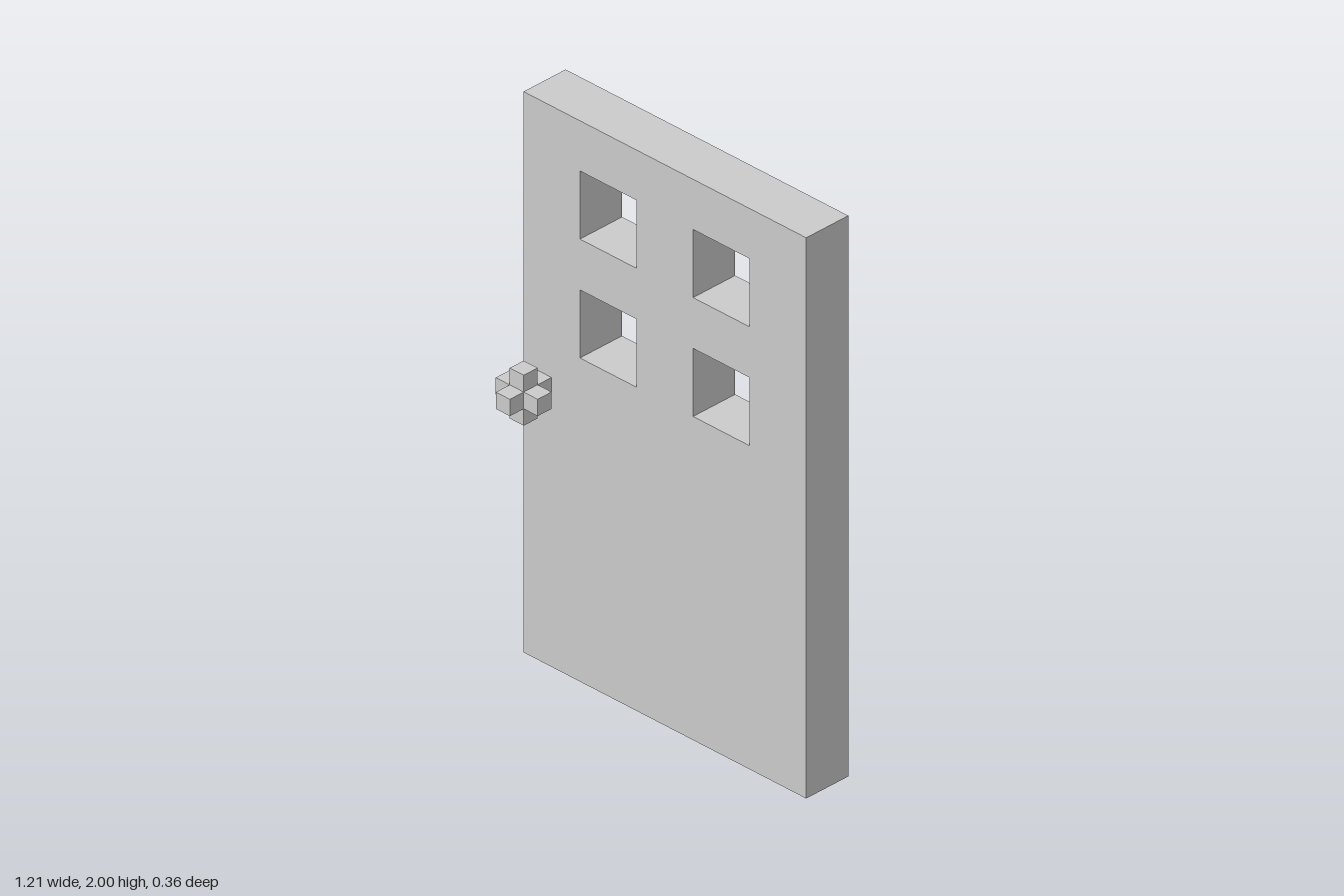
import * as THREE from 'three';

const WIDTH = 1.212, HEIGHT = 2, DEPTH = 0.182;

// Closed rectangular outline from two opposite corners
function rect(PathType, x0, y0, x1, y1) {
  return new PathType([[x0, y0], [x1, y0], [x1, y1], [x0, y1]].map(([x, y]) => new THREE.Vector2(x, y)));
}

export function createModel() {
  const model = new THREE.Group();
  model.name = 'door';
  const material = new THREE.MeshStandardMaterial({ color: 0xcccccc, flatShading: true });

  // Door slab with a two by two grid of open windows
  const outline = rect(THREE.Shape, -WIDTH / 2, 0, WIDTH / 2, HEIGHT);
  for (const x of [-0.364, 0.121]) {
    for (const y of [1.154, 1.578]) {
      outline.holes.push(rect(THREE.Path, x, y, x + 0.243, y + 0.243));
    }
  }
  const slab = new THREE.Mesh(
    new THREE.ExtrudeGeometry(outline, { depth: DEPTH, bevelEnabled: false }), material);
  slab.name = 'doorPanel';
  slab.position.z = -DEPTH;
  model.add(slab);

  // Knob: three crossed square bars, touching the front face
  const knob = new THREE.Group();
  knob.name = 'knob';
  const length = 0.18, thickness = 0.06;
  for (const axis of ['x', 'y', 'z']) {
    const size = new THREE.Vector3(thickness, thickness, thickness);
    size[axis] = length;
    const bar = new THREE.Mesh(new THREE.BoxGeometry(size.x, size.y, size.z), material);
    bar.name = `knobBar${axis.toUpperCase()}`;
    knob.add(bar);
  }
  knob.position.set(-0.516, 1.002, length / 2);
  model.add(knob);

  return model;
}
